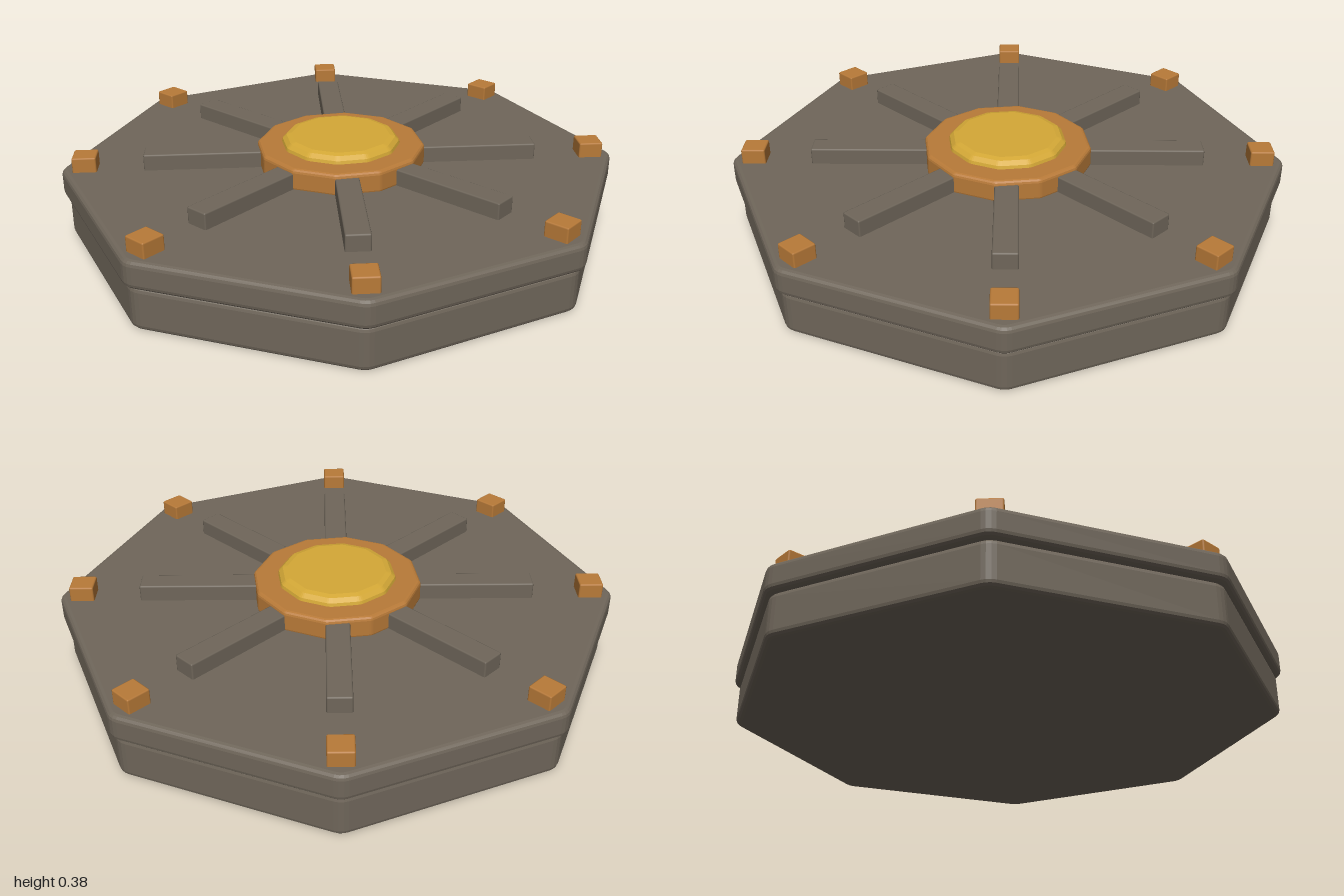
import * as THREE from 'three';
import { RoundedBoxGeometry } from 'three/addons/geometries/RoundedBoxGeometry.js';

const material = (name, color) => {
  const m = new THREE.MeshStandardMaterial({ color });
  m.name = name;
  return m;
};

// Upright regular prism with flats facing the axes, rounded rims and softened corners.
function bevelledPrism(sides, apothem, y0, y1, bevel, corner) {
  const radius = (apothem - bevel) / Math.cos(Math.PI / sides);
  const points = Array.from({ length: sides }, (_, i) => {
    const a = ((i + 0.5) / sides) * Math.PI * 2;
    return new THREE.Vector2(Math.cos(a) * radius, Math.sin(a) * radius);
  });
  const shape = new THREE.Shape();
  points.forEach((p, i) => {
    const toward = (q) => p.clone().add(q.clone().sub(p).setLength(corner));
    const start = toward(points[(i + sides - 1) % sides]);
    const end = toward(points[(i + 1) % sides]);
    if (i === 0) shape.moveTo(start.x, start.y);
    else shape.lineTo(start.x, start.y);
    shape.quadraticCurveTo(p.x, p.y, end.x, end.y);
  });
  shape.closePath();
  const geometry = new THREE.ExtrudeGeometry(shape, {
    depth: y1 - y0 - 2 * bevel,
    bevelEnabled: true,
    bevelSize: bevel,
    bevelThickness: bevel,
    bevelSegments: 3,
    curveSegments: 3,
  });
  geometry.rotateX(-Math.PI / 2);
  geometry.translate(0, y0 + bevel, 0);
  return geometry;
}

export function createModel() {
  const stone = material('stone', 0x6f665a);
  const copper = material('copper', 0xb87a38);
  const gold = material('gold', 0xd4a836);

  const model = new THREE.Group();
  model.name = 'octagonalPlatform';
  const add = (name, geometry, mat, parent = model) => {
    const mesh = new THREE.Mesh(geometry, mat);
    mesh.name = name;
    parent.add(mesh);
    return mesh;
  };

  // Two stacked slabs
  add('base', bevelledPrism(8, 0.98, 0, 0.165, 0.02, 0.02), stone);
  add('deck', bevelledPrism(8, 1, 0.165, 0.27, 0.02, 0.02), stone);

  // Central hub
  add('hubRing', bevelledPrism(12, 0.315, 0.26, 0.35, 0.015, 0.005), copper);
  add('hubCap', bevelledPrism(12, 0.225, 0.28, 0.382, 0.04, 0.005), gold);

  // Radial ribs and corner studs
  const ribGeometry = new RoundedBoxGeometry(0.51, 0.08, 0.09, 1, 0.006);
  const studGeometry = new RoundedBoxGeometry(0.092, 0.07, 0.092, 1, 0.006);
  for (let i = 0; i < 8; i++) {
    const spoke = new THREE.Group();
    spoke.name = `spoke${i + 1}`;
    spoke.rotation.y = ((i + 0.5) * Math.PI) / 4;
    add('rib', ribGeometry, stone, spoke).position.set(0.505, 0.293, 0);
    add('cornerStud', studGeometry, copper, spoke).position.set(0.985, 0.293, 0);
    model.add(spoke);
  }
  return model;
}
